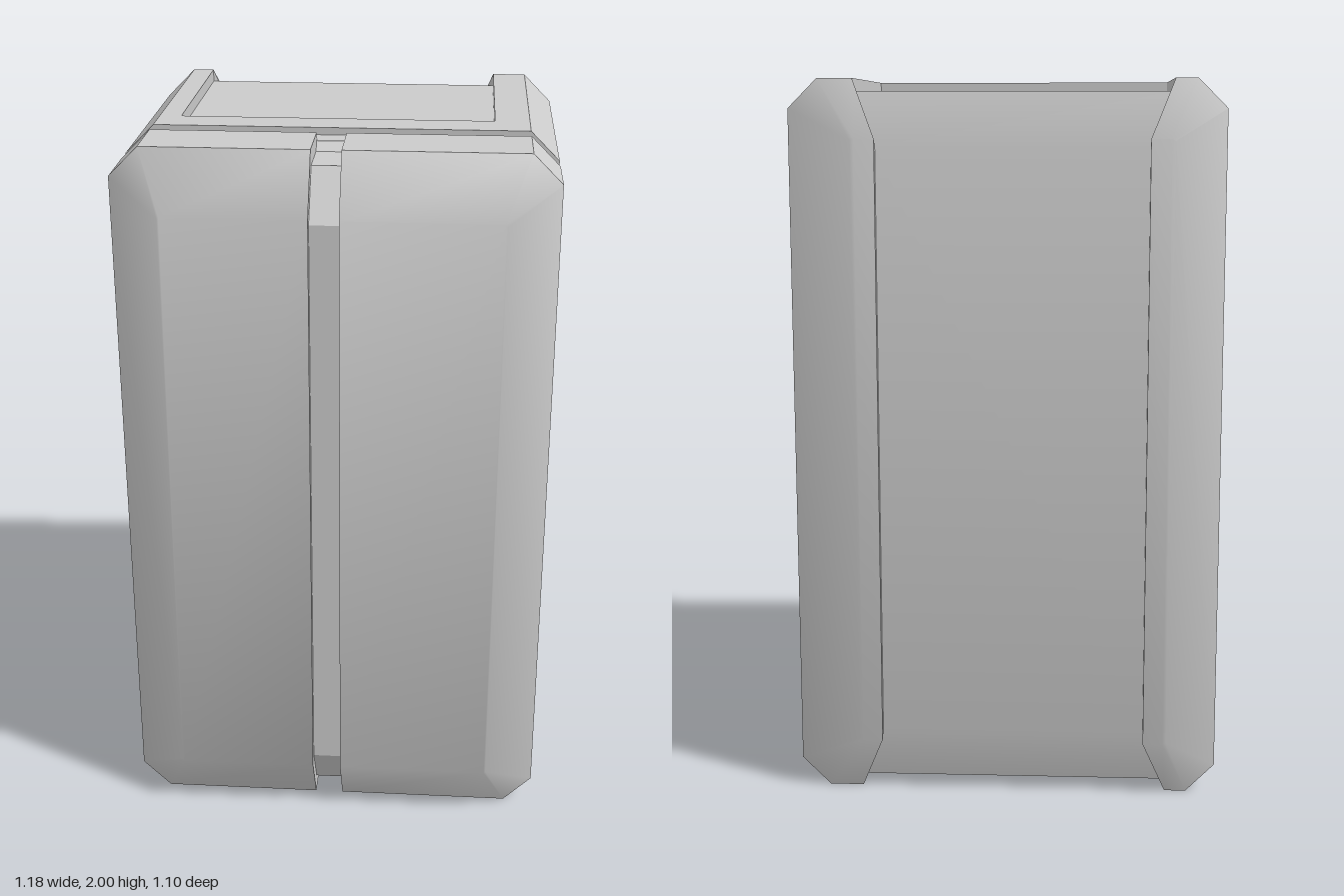
import * as THREE from 'three';
import { toCreasedNormals } from 'three/addons/utils/BufferGeometryUtils.js';

const H = 2;
const material = new THREE.MeshStandardMaterial({ color: 0xcccccc });

// Lower half of a section, listed from -x to +x as [x, y, (own z)]; the upper half mirrors it.
function section(z, points) {
  const low = points.map(([x, y, own]) => [x, y, own ?? z]);
  const high = low.map(([x, y, pz]) => [x, H - y, pz]).reverse();
  return [...low, ...high];
}

// Skin over sections of rising z, with optional strip-filled ends.
function loft(sections, capBack = true, capFront = true) {
  const pos = [];
  const quad = (a, b, c, d) => pos.push(...a, ...b, ...c, ...a, ...c, ...d);
  const n = sections[0].length;
  for (let s = 0; s + 1 < sections.length; s++) {
    const a = sections[s], b = sections[s + 1];
    for (let i = 0; i < n; i++) {
      const j = (i + 1) % n;
      quad(a[i], a[j], b[j], b[i]);
    }
  }
  const first = sections[0], last = sections[sections.length - 1];
  for (let i = 0; i + 1 < n / 2; i++) {
    const j = i + 1, ti = n - 1 - i, tj = n - 1 - j;
    if (capFront) quad(last[i], last[j], last[tj], last[ti]);
    if (capBack) quad(first[i], first[ti], first[tj], first[j]);
  }
  const g = new THREE.BufferGeometry();
  g.setAttribute('position', new THREE.Float32BufferAttribute(pos, 3));
  return toCreasedNormals(g, 0.7);
}

// Side profile (z, y) extruded from x towards -x.
function extrudeSide(shape, x, depth) {
  return new THREE.ExtrudeGeometry(shape, { depth, bevelEnabled: false })
    .rotateY(-Math.PI / 2).translate(x, 0, 0);
}

function rect(Type, z0, y0, z1, y1) {
  return new Type([[z0, y0], [z1, y0], [z1, y1], [z0, y1]].map(p => new THREE.Vector2(...p)));
}

export function createModel() {
  const model = new THREE.Group();
  model.name = 'case';
  const add = (name, geometry) => {
    const mesh = new THREE.Mesh(geometry, material);
    mesh.name = name;
    model.add(mesh);
  };

  const leftEdge = [[-0.59, 0.08], [-0.51, 0]];
  const rightEdge = [[0.51, 0], [0.59, 0.08]];
  const full = [...leftEdge, ...rightEdge];
  // Shallow panel recess in the top and bottom, open towards the back
  const notch = [[-0.45, 0], [-0.45, 0.035], [0.415, 0.035], [0.415, 0]];
  const notched = [...leftEdge, ...notch, ...rightEdge];
  // Pocket in the -x flank that receives the vent panel
  const pocket = [-0.56, 0.08];

  // Main body
  add('bodyCollar', loft([section(0.2, full), section(0.22, full)]));
  add('bodyFront', loft([section(0.115, [pocket, ...full]), section(0.2, [pocket, ...full])], true, false));
  add('bodyRear', loft([section(-0.49, [pocket, ...notched]), section(0.115, [pocket, ...notched])], false, false));

  // Bevelled back with a sunken centre panel between two corner posts
  add('backPanel', loft([
    section(-0.55, [[-0.45, 0.165], [-0.44, 0.16],
      [-0.385, 0.16], [-0.385, 0.18, -0.53], [0.35, 0.18, -0.53], [0.35, 0.16],
      [0.405, 0.16], [0.415, 0.165]]),
    section(-0.49, notched),
  ], true, false));

  // Side panel with two vent slots
  const side = rect(THREE.Shape, -0.49, 0.08, 0.2, 1.92);
  for (const y of [1.76, 1.65]) side.holes.push(rect(THREE.Path, -0.45, y, 0.185, y + 0.07));
  add('ventPanel', extrudeSide(side, -0.56, 0.03));

  // Inset seam between body and door
  const seam = [[-0.575, 0.1], [-0.5, 0.02], [0.5, 0.02], [0.575, 0.1]];
  add('seam', loft([section(0.21, seam), section(0.285, seam)], false, false));

  // Two bevelled door halves
  const front = [[-0.45, 0.165], [-0.445, 0.16]];
  const frontRight = [[0.445, 0.16], [0.45, 0.165]];
  add('doorRight', loft([
    section(0.275, [...leftEdge, [-0.06, 0]]),
    section(0.455, [...leftEdge, [-0.06, 0]]),
    section(0.55, [...front, [-0.06, 0.16]]),
  ]));
  add('doorLeft', loft([
    section(0.275, [[0.02, 0], ...rightEdge]),
    section(0.455, [[0.02, 0], ...rightEdge]),
    section(0.55, [[0.02, 0.16], ...frontRight]),
  ]));

  // Recessed strip filling the slot between the door halves
  const low = [[0.27, 0.02], [0.275, 0.02], [0.3, 0.045], [0.44, 0.045], [0.525, 0.18]];
  const outline = [...low, ...low.map(([z, y]) => [z, H - y]).reverse()];
  add('doorGap', extrudeSide(new THREE.Shape(outline.map(p => new THREE.Vector2(...p))), 0.02, 0.08));

  return model;
}
